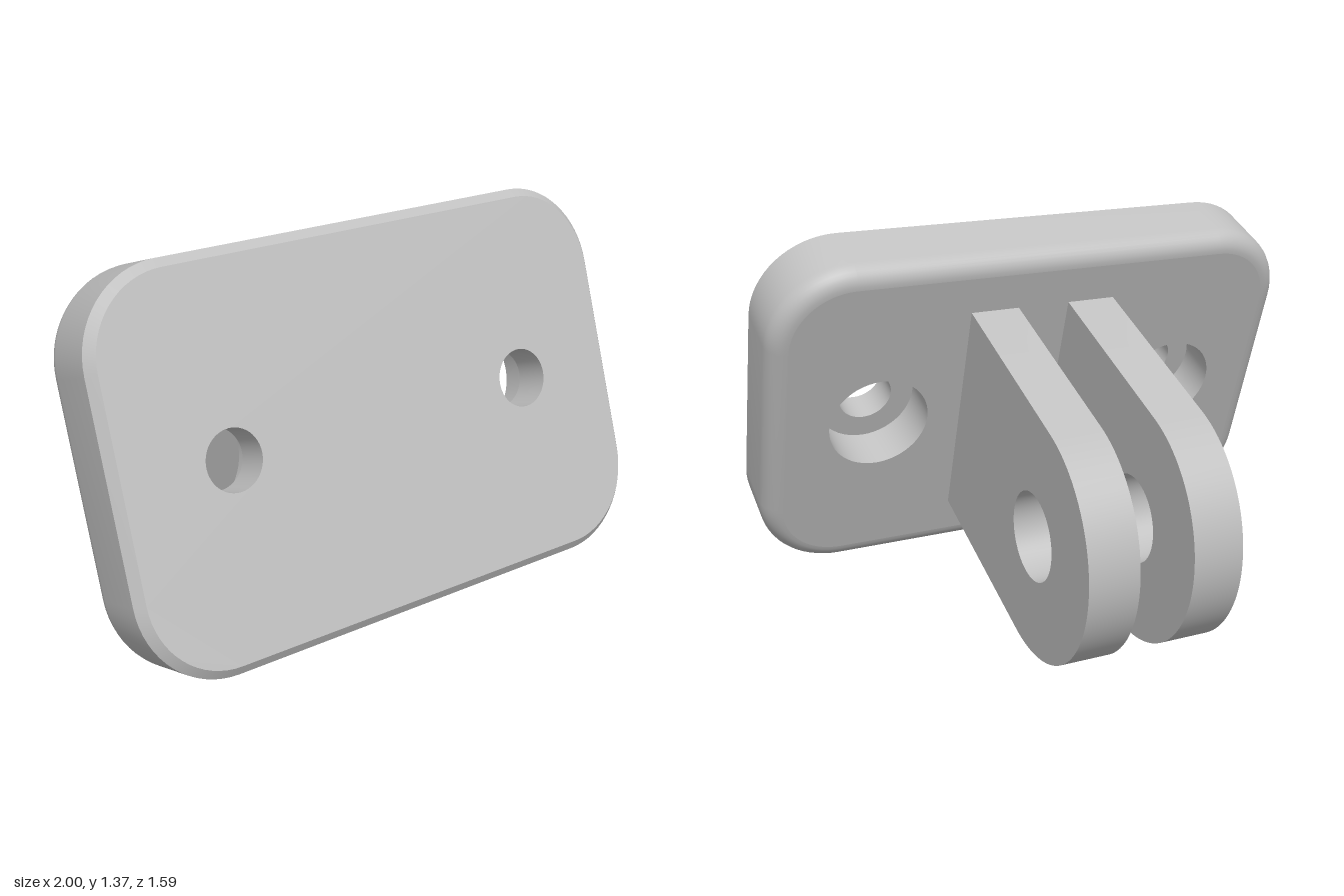
import * as THREE from 'three';
import { toCreasedNormals } from 'three/addons/utils/BufferGeometryUtils.js';

const TILT = THREE.MathUtils.degToRad(20);
const BACK = 0.705, FRONT = 1.0;           // plate faces along its own z
const HALF_W = 1, HALF_H = 0.646, CORNER = 0.3;
const CHAMFER = 0.03, FILLET = 0.07;
const HOLE_X = 0.587, HOLE_R = 0.1, BORE_R = 0.185, BORE_FLOOR = 0.875;
const ARM_R = 0.436, PIN_R = 0.157, ARM_IN = 0.0975, ARM_THICK = 0.18;

// Rounded rectangle, shrunk by inset, counter-clockwise
function outline(inset) {
  const pts = [], n = 16, r = CORNER - inset;
  const corners = [[1, 1], [-1, 1], [-1, -1], [1, -1]];
  corners.forEach(([sx, sy], q) => {
    for (let i = 0; i <= n; i++) {
      const a = (q + i / n) * Math.PI / 2;
      pts.push(new THREE.Vector2(
        sx * (HALF_W - CORNER) + r * Math.cos(a),
        sy * (HALF_H - CORNER) + r * Math.sin(a)));
    }
  });
  return pts;
}

// Plate rim: filleted at the back, chamfered at the front
function rimGeometry() {
  const layers = [];
  for (let i = 0; i <= 8; i++) {
    const a = i / 8 * Math.PI / 2;
    layers.push([FILLET * (1 - Math.sin(a)), BACK + FILLET * (1 - Math.cos(a))]);
  }
  layers.push([0, FRONT - CHAMFER], [CHAMFER, FRONT]);
  const pos = [], index = [];
  let n = 0;
  for (const [inset, z] of layers) {
    const ring = outline(inset);
    n = ring.length;
    ring.forEach(p => pos.push(p.x, p.y, z));
  }
  for (let i = 0; i < layers.length - 1; i++) {
    for (let j = 0; j < n; j++) {
      const a = i * n + j, b = i * n + (j + 1) % n;
      index.push(a, b, b + n, a, b + n, a + n);
    }
  }
  const g = new THREE.BufferGeometry();
  g.setAttribute('position', new THREE.Float32BufferAttribute(pos, 3));
  g.setIndex(index);
  return toCreasedNormals(g, 0.5);
}

// Flat plate face with two screw holes
function faceGeometry(inset, holeR) {
  const shape = new THREE.Shape(outline(inset));
  for (const s of [-1, 1]) {
    shape.holes.push(new THREE.Path().absarc(s * HOLE_X, 0, holeR, 0, Math.PI * 2, true));
  }
  return new THREE.ShapeGeometry(shape, 24);
}

// Stepped screw hole: narrow at the front, counterbored from the back
function screwHoleGeometry() {
  const profile = [[HOLE_R, FRONT], [HOLE_R, BORE_FLOOR], [BORE_R, BORE_FLOOR], [BORE_R, BACK]];
  const g = new THREE.LatheGeometry(profile.map(p => new THREE.Vector2(...p)), 48);
  g.rotateX(Math.PI / 2);
  return toCreasedNormals(g, 0.5);
}

// Round-ended hinge arm with a pin hole at its origin
function armGeometry() {
  const shape = new THREE.Shape();
  shape.moveTo(BACK + 0.01, -ARM_R);
  shape.lineTo(BACK + 0.01, ARM_R);
  shape.lineTo(0, ARM_R);
  shape.absarc(0, 0, ARM_R, Math.PI / 2, Math.PI * 1.5, false);
  shape.holes.push(new THREE.Path().absarc(0, 0, PIN_R, 0, Math.PI * 2, true));
  const g = new THREE.ExtrudeGeometry(shape, { depth: ARM_THICK, bevelEnabled: false, curveSegments: 28 });
  g.translate(0, 0, -ARM_THICK / 2);
  g.rotateY(-Math.PI / 2);
  return toCreasedNormals(g, 0.5);
}

export function createModel() {
  const model = new THREE.Group();
  model.name = 'hingeMount';
  const grey = new THREE.MeshStandardMaterial({ color: 0xc0c0c0 });
  grey.name = 'light grey';

  // Everything is built around the pin axis, then tilted back
  const bracket = new THREE.Group();
  bracket.name = 'tiltedBracket';
  bracket.rotation.x = -TILT;
  bracket.position.set(0, ARM_R, -0.357);
  model.add(bracket);

  const add = (name, geometry, x = 0, z = 0) => {
    const mesh = new THREE.Mesh(geometry, grey);
    mesh.name = name;
    mesh.position.set(x, 0, z);
    bracket.add(mesh);
    return mesh;
  };

  add('plateRim', rimGeometry());
  add('plateFront', faceGeometry(CHAMFER, HOLE_R), 0, FRONT);
  add('plateBack', faceGeometry(FILLET, BORE_R), 0, BACK).rotation.y = Math.PI;

  const hole = screwHoleGeometry(), arm = armGeometry();
  for (const [side, s] of [['left', 1], ['right', -1]]) {
    add(side + 'ScrewHole', hole, s * HOLE_X);
    add(side + 'HingeArm', arm, s * (ARM_IN + ARM_THICK / 2));
  }
  return model;
}
